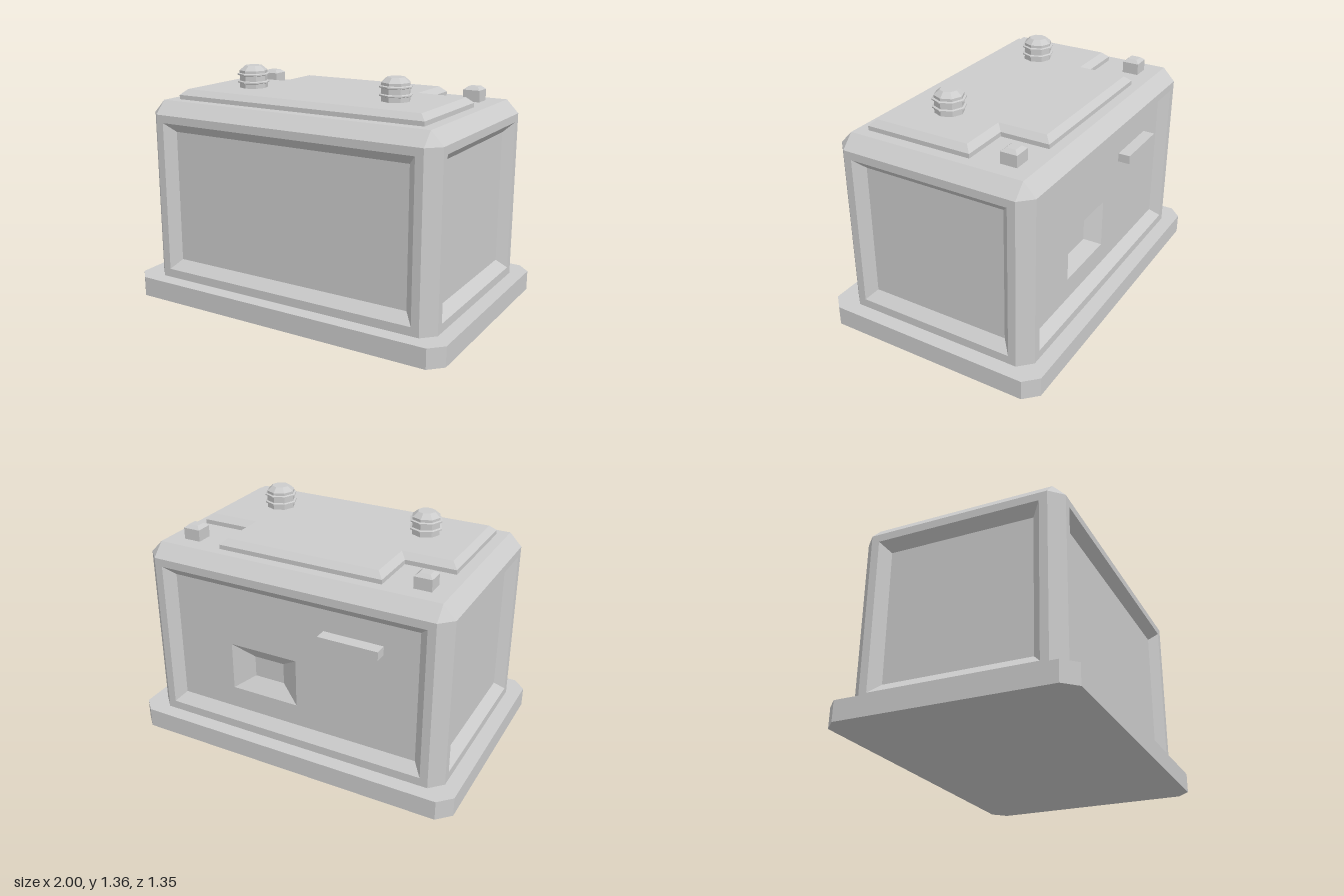
import * as THREE from 'three';

const material = new THREE.MeshStandardMaterial({ color: 0xcccccc, flatShading: true });

// Skins a stack of equal-length loops (counter-clockwise seen from outside) and caps the last one.
function skin(loops, { cap = true, keep = () => true } = {}) {
  const pos = [];
  const tri = (a, b, c) => {
    if (new THREE.Triangle(a, b, c).getArea() > 1e-7) for (const p of [a, b, c]) pos.push(p.x, p.y, p.z);
  };
  const n = loops[0].length;
  for (let k = 0; k + 1 < loops.length; k++) {
    const a = loops[k], b = loops[k + 1];
    for (let i = 0; i < n; i++) {
      if (!keep(i)) continue;
      const j = (i + 1) % n;
      tri(a[i], a[j], b[j]);
      tri(a[i], b[j], b[i]);
    }
  }
  if (cap) {
    const last = loops[loops.length - 1];
    const mid = last.reduce((s, p) => s.add(p), new THREE.Vector3()).divideScalar(n);
    last.forEach((p, i) => tri(p, last[(i + 1) % n], mid));
  }
  const g = new THREE.BufferGeometry();
  g.setAttribute('position', new THREE.Float32BufferAttribute(pos, 3));
  g.computeVertexNormals();
  return g;
}

// Horizontal rectangle with cut corners; c = 0 gives a plain rectangle.
function octagon(hx, hz, c, y) {
  const x = hx - c, z = hz - c;
  return [[hx, z], [hx, -z], [x, -hz], [-x, -hz], [-hx, -z], [-hx, z], [-x, hz], [x, hz]]
    .map(([px, pz]) => new THREE.Vector3(px, y, pz));
}

// Upright rectangle facing +z.
const rect = (x0, x1, y0, y1, z) =>
  [[x0, y0], [x1, y0], [x1, y1], [x0, y1]].map(([x, y]) => new THREE.Vector3(x, y, z));

export function createModel() {
  const model = new THREE.Group();
  const add = (name, geometry, parent = model) => {
    const mesh = new THREE.Mesh(geometry, material);
    mesh.name = name;
    parent.add(mesh);
    return mesh;
  };

  // Base slab with cut corners, closed underneath
  add('base', skin([octagon(0, 0, 0, 0), octagon(1, 0.675, 0.075, 0), octagon(1, 0.675, 0.075, 0.115)]));

  // Case: corner posts, bevelled top and four recessed walls
  const HX = 0.915, HZ = 0.59, C = 0.072, Y0 = 0.115, Y1 = 1.095, TOP = 1.17;
  const body = new THREE.Group();
  body.name = 'case';
  model.add(body);
  add('cornerPosts', skin([octagon(HX, HZ, C, Y0), octagon(HX, HZ, C, Y1)],
    { cap: false, keep: i => i % 2 === 1 }), body);
  add('caseTop', skin([octagon(HX, HZ, C, Y1), octagon(HX - C, HZ - C, 0, TOP)]), body);

  const wall = (name, half, out, angle, extra = []) => {
    const w = half - C, rim = w - 0.046, floor = rim - 0.053;
    const mesh = add(name, skin([
      rect(-w, w, Y0, Y1, out),
      rect(-rim, rim, 0.165, 1.05, out),
      rect(-floor, floor, 0.22, 0.995, out - 0.055),
      ...extra,
    ]), body);
    mesh.rotation.y = angle;
  };
  // The back wall has a sunken dent in its panel
  const dent = [rect(-0.395, 0.02, 0.35, 0.635, HZ - 0.055), rect(-0.28, -0.095, 0.43, 0.555, HZ - 0.115)];
  wall('frontWall', HX, HZ, 0);
  wall('backWall', HX, HZ, Math.PI, dent);
  wall('leftWall', HZ, HX, Math.PI / 2);
  wall('rightWall', HZ, HX, -Math.PI / 2);

  // Small bar on the back panel
  add('backBar', new THREE.BoxGeometry(0.35, 0.05, 0.07)).position.set(-0.37, 0.842, -0.57);

  // Stepped cover plate with a bevelled rim
  const cover = (d, y) => [
    [0.78 - d, 0.455 - d], [0.78 - d, -0.175 + d], [0.49 - d, -0.175 + d], [0.49 - d, -0.46 + d],
    [-0.49 + d, -0.46 + d], [-0.49 + d, -0.175 + d], [-0.78 + d, -0.175 + d], [-0.78 + d, 0.455 - d],
  ].map(([x, z]) => new THREE.Vector3(x, y, z));
  add('coverPlate', skin([cover(0, TOP), cover(0, 1.195), cover(0.035, 1.227)]));

  // Ringed terminals and small bevelled lugs, one pair each
  const profile = [
    [0.082, 1.225], [0.082, 1.253], [0.094, 1.257], [0.094, 1.264], [0.082, 1.268],
    [0.082, 1.298], [0.094, 1.302], [0.094, 1.309], [0.082, 1.313], [0.082, 1.328],
    [0.05, 1.355], [0, 1.355],
  ].map(([r, y]) => new THREE.Vector2(r, y));
  for (const [side, s] of [['left', 1], ['right', -1]]) {
    add(side + 'Terminal', new THREE.LatheGeometry(profile, 8)).position.set(s * 0.467, 0, 0.157);
    add(side + 'Lug', skin([octagon(0.05, 0.048, 0, TOP), octagon(0.05, 0.048, 0, 1.236),
      octagon(0.029, 0.027, 0, 1.254)])).position.set(s * 0.697, 0, -0.38);
  }
  return model;
}
